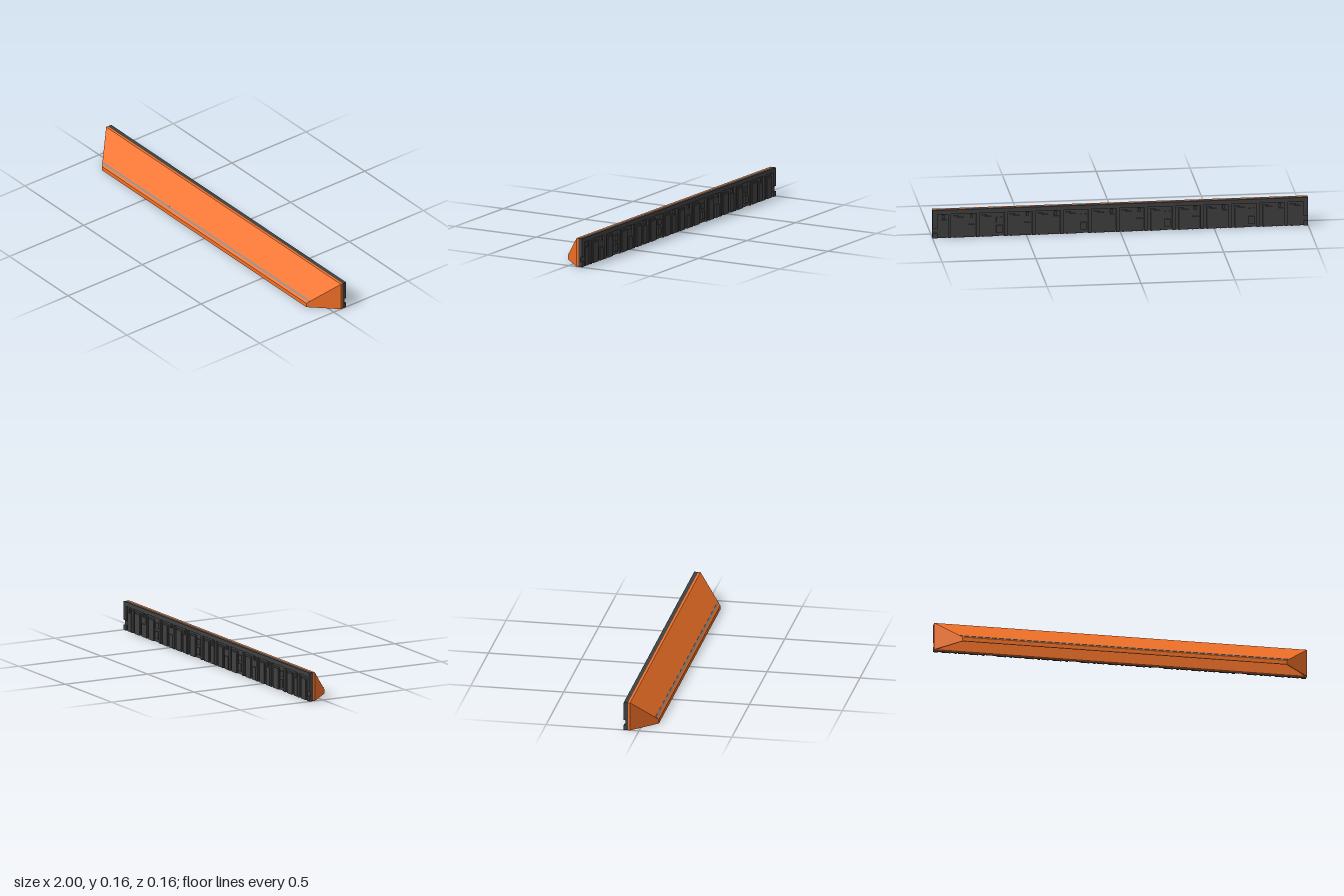
import * as THREE from 'three';

const orange = new THREE.MeshStandardMaterial({ color: 0xf27127, flatShading: true });
const dark = new THREE.MeshStandardMaterial({ color: 0x404040, flatShading: true });
const grey = new THREE.MeshStandardMaterial({ color: 0x858585 });

const H = 0.155, LIP = 0.023, FRONT = 0.083, PLATE = -0.048, PANEL = -0.06, BACK = -0.082;

// Corners of the right-hand end of the wedge, inset by wall thickness t
function endCorners(t) {
  const x = 0.87 - 0.41 * t, z = FRONT - t;
  return [[x, 0, z], [x, LIP - 0.41 * t, z], [1 - 1.41 * t, H - 1.41 * t, PLATE], [1 - 1.41 * t, 0, PLATE]];
}

// Hollow wedge, open at the bottom, with slanted ends
function wedgeGeometry() {
  const pos = [];
  const quad = (a, b, c, d) => pos.push(...a, ...b, ...c, ...a, ...c, ...d);
  const flip = ([x, y, z]) => [-x, y, z];
  const outer = endCorners(0), inner = endCorners(0.005);
  [[outer, false], [inner, true]].forEach(([r, inside]) => {
    const l = r.map(flip);
    const face = (...p) => quad(...(inside ? p.reverse() : p));
    face(l[0], r[0], r[1], l[1]); // lip
    face(l[1], r[1], r[2], l[2]); // slope
    face(r[0], r[3], r[2], r[1]); // ends
    face(l[1], l[2], l[3], l[0]);
  });
  // bottom rim
  const lo = outer.map(flip), li = inner.map(flip);
  quad(lo[0], li[0], inner[0], outer[0]);
  quad(outer[0], inner[0], inner[3], outer[3]);
  quad(lo[3], li[3], li[0], lo[0]);
  const g = new THREE.BufferGeometry();
  g.setAttribute('position', new THREE.Float32BufferAttribute(pos, 3));
  g.computeVertexNormals();
  return g;
}

export function createModel() {
  const model = new THREE.Group();
  const add = (name, geometry, material, parent = model) => {
    const mesh = new THREE.Mesh(geometry, material);
    mesh.name = name;
    parent.add(mesh);
    return mesh;
  };
  // Box given by its limits on each axis
  const block = (name, x0, x1, y0, y1, z0, z1, material, parent) =>
    add(name, new THREE.BoxGeometry(x1 - x0, y1 - y0, z1 - z0), material, parent)
      .position.set((x0 + x1) / 2, (y0 + y1) / 2, (z0 + z1) / 2);

  add('wedgeShell', wedgeGeometry(), orange);
  block('mountingPlate', -1, 1, 0, H, PANEL, PLATE, orange);

  // Thin light strip lying on the slope
  const strip = add('lightStrip', new THREE.BoxGeometry(1.76, 0.01, 0.004), grey);
  strip.position.set(0, 0.036, 0.07);
  strip.rotation.x = -Math.PI / 4;

  // Dark back panel: slab, top rail and end posts
  const panel = new THREE.Group();
  panel.name = 'backPanel';
  model.add(panel);
  const slab = -0.073;
  block('panelSlab', -1, 1, 0, H, slab, PANEL, dark, panel);
  block('topRail', -1, 1, 0.132, H, BACK, slab, dark, panel);
  for (const s of [-1, 1]) {
    const post = (y0, y1) => block('endPost', s > 0 ? 0.975 : -1, s > 0 ? 1 : -0.975, y0, y1, BACK, slab, dark, panel);
    post(0, 0.027);
    post(0.055, 0.132);
  }

  // Repeating relief on the back: wide pads, slim ribs and small bosses
  const count = 13, pitch = 1.94 / count;
  for (let i = 0; i < count; i++) {
    const x = -0.97 + i * pitch;
    block('widePad', x + 0.01, x + 0.062, 0, 0.112, BACK + 0.001, slab, dark, panel);
    block('padStep', x + 0.004, x + 0.068, 0.01, 0.12, BACK + 0.005, slab, dark, panel);
    block('slimRib', x + 0.08, x + 0.096, 0, 0.132, BACK, slab, dark, panel);
    if (i % 3 === 1) {
      block('lowerBoss', x + 0.106, x + 0.138, 0.02, 0.06, BACK, slab, dark, panel);
      block('upperBoss', x + 0.106, x + 0.138, 0.075, 0.105, BACK + 0.002, slab, dark, panel);
    } else {
      block('sidePad', x + 0.104, x + 0.14, 0, i % 2 ? 0.07 : 0.1, BACK + 0.002, slab, dark, panel);
      block('latch', x + 0.114, x + 0.128, 0.108, 0.125, BACK, slab, dark, panel);
    }
  }
  return model;
}
